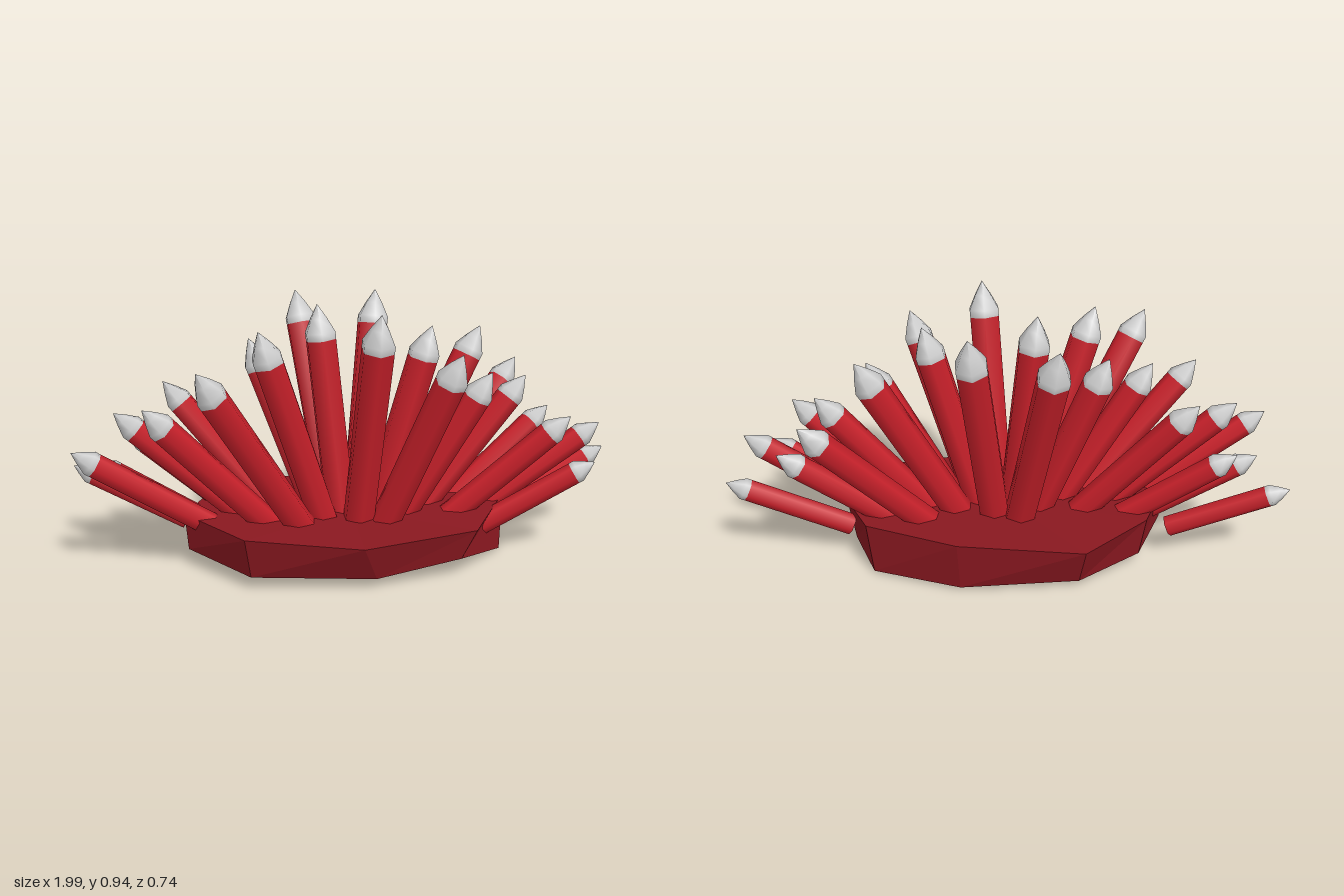
import * as THREE from 'three';

// All spines radiate from one point below the slab
const ORIGIN = new THREE.Vector3(0, -0.17, 0);
const START_Y = 0.12;

// Tip of each spine
const TIPS = [
  [-1.0, 0.32, -0.21], [-0.8, 0.46, -0.2], [-0.66, 0.64, -0.17], [-0.35, 0.8, -0.12], [-0.11, 0.93, -0.05],
  [-0.91, 0.38, -0.07], [-0.83, 0.57, -0.02], [-0.53, 0.7, 0.05], [-0.97, 0.47, 0.1], [-0.72, 0.64, 0.2],
  [-0.54, 0.79, 0.33], [-0.33, 0.88, 0.15], [-0.16, 0.93, -0.345], [0.13, 0.94, -0.26], [0.69, 0.655, -0.3],
  [0.505, 0.815, -0.15], [0.79, 0.49, -0.18], [0.66, 0.645, -0.06], [0.99, 0.34, -0.105], [0.93, 0.47, 0],
  [0.285, 0.86, 0.035], [0.49, 0.7, 0.1], [0.77, 0.54, 0.14], [0.865, 0.37, 0.155], [0.07, 0.945, 0.25],
  [0.335, 0.815, 0.3],
];

// Outline of the slab, clockwise from above
const TOP = [
  [-0.265, 0.18, -0.37], [0.18, 0.205, -0.34], [0.5, 0.205, -0.2], [0.58, 0.2, -0.02], [0.41, 0.18, 0.275],
  [0, 0.17, 0.365], [-0.4, 0.2, 0.3], [-0.6, 0.2, 0.03], [-0.5, 0.2, -0.2],
];
const BOTTOM = [
  [-0.25, 0.03, -0.32], [0.17, 0.015, -0.32], [0.48, 0.01, -0.2], [0.56, 0, 0.03], [0.36, 0.07, 0.26],
  [0.05, 0.035, 0.31], [-0.38, 0.05, 0.27], [-0.59, 0.065, 0.03], [-0.48, 0.05, -0.19],
];

const red = new THREE.MeshStandardMaterial({ color: 0xc8202a });
const darkRed = new THREE.MeshStandardMaterial({ color: 0x8a1820, flatShading: true });
const grey = new THREE.MeshStandardMaterial({ color: 0xcccccc });

// Irregular faceted slab, capped above and below
function slabGeometry() {
  const pos = [];
  const tri = (...pts) => pts.forEach((p) => pos.push(...p));
  const topMid = [0, 0.175, 0], bottomMid = [0, 0.035, 0];
  for (let i = 0; i < TOP.length; i++) {
    const j = (i + 1) % TOP.length;
    tri(topMid, TOP[j], TOP[i]);
    tri(bottomMid, BOTTOM[i], BOTTOM[j]);
    tri(BOTTOM[j], BOTTOM[i], TOP[i]);
    tri(BOTTOM[j], TOP[i], TOP[j]);
  }
  const geo = new THREE.BufferGeometry();
  geo.setAttribute('position', new THREE.Float32BufferAttribute(pos, 3));
  geo.computeVertexNormals();
  return geo;
}

// Six-sided shaft with a pointed grey cap, standing along +y from its base
function makeSpine(tipPoint) {
  const tip = new THREE.Vector3(...tipPoint);
  const start = ORIGIN.clone().lerp(tip, (START_Y - ORIGIN.y) / (tip.y - ORIGIN.y));
  const axis = tip.clone().sub(start);
  const length = axis.length();
  const r = 0.027 + 0.034 * tip.y;
  const capLength = 2.15 * r;
  const shaftLength = length - capLength;

  const spine = new THREE.Group();
  spine.name = 'spine';

  const shaft = new THREE.Mesh(new THREE.CylinderGeometry(r, r, shaftLength, 6), red);
  shaft.name = 'spineShaft';
  shaft.position.y = shaftLength / 2;

  const profile = [[r, 0], [r * 1.01, 0.45 * r], [r * 0.55, 1.3 * r], [0, capLength]];
  const cap = new THREE.Mesh(
    new THREE.LatheGeometry(profile.map(([x, y]) => new THREE.Vector2(x, y)), 6), grey);
  cap.name = 'spineTip';
  cap.position.y = shaftLength;

  spine.add(shaft, cap);
  spine.position.copy(start);
  spine.quaternion.setFromUnitVectors(new THREE.Vector3(0, 1, 0), axis.normalize());
  return spine;
}

export function createModel() {
  const model = new THREE.Group();
  model.name = 'spikyCluster';

  const slab = new THREE.Mesh(slabGeometry(), darkRed);
  slab.name = 'baseSlab';
  model.add(slab);

  const spines = new THREE.Group();
  spines.name = 'spines';
  TIPS.forEach((tip) => spines.add(makeSpine(tip)));
  model.add(spines);

  return model;
}
